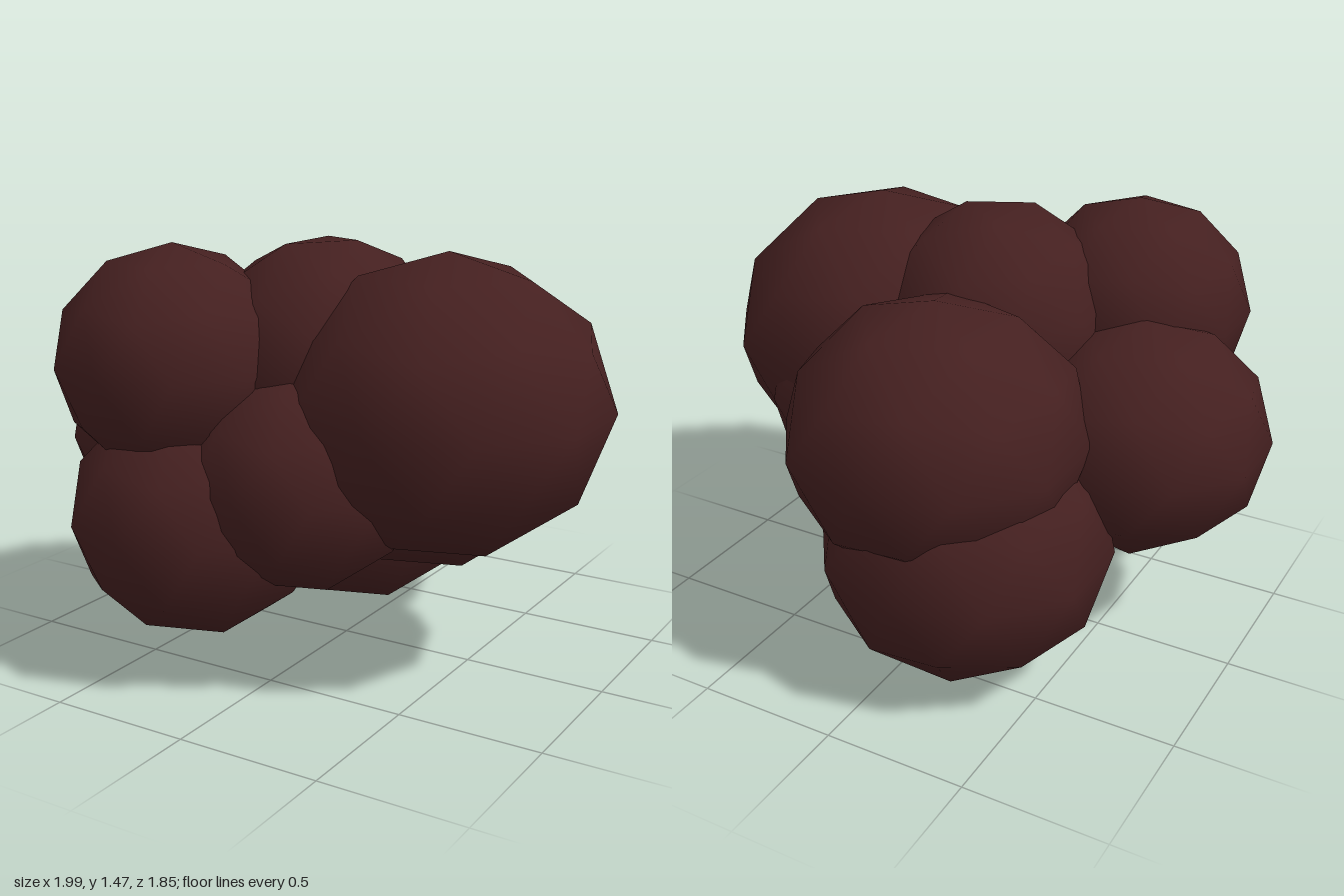
import * as THREE from 'three';

// Cluster of rounded lobes: name, centre x, y, z, horizontal radius, vertical radius, sideways tilt
const LOBES = [
  ['largeRightLobe', 0.465, 0.95, 0.135, 0.555, 0.505, 0],
  ['innerRightLobe', 0.345, 0.8, 0.015, 0.475, 0.455, 0],
  ['upperFrontLobe', -0.385, 1.07, 0.475, 0.41, 0.395, 0],
  ['lowerFrontLobe', -0.3, 0.55, 0.475, 0.445, 0.42, 0],
  ['leftLobe', -0.57, 0.745, 0.135, 0.45, 0.415, 0],
  ['backLobe', -0.07, 0.86, -0.41, 0.515, 0.465, 0],
  ['bottomLobe', -0.17, 0.48, -0.39, 0.505, 0.48, 0],
  ['topLobe', 0, 1.05, 0.13, 0.435, 0.435, -0.28],
  ['centreFrontLobe', 0.065, 0.71, 0.39, 0.405, 0.385, 0],
];

export function createModel() {
  const group = new THREE.Group();
  group.name = 'lobeCluster';
  const darkBrown = new THREE.MeshStandardMaterial({ color: 0x452020 });
  darkBrown.name = 'darkBrown';

  // Low-poly ball turned so that a vertex sits at each pole
  const ball = new THREE.IcosahedronGeometry(1, 1);
  ball.rotateZ(Math.atan(2 / (1 + Math.sqrt(5))));
  ball.rotateY(Math.PI);

  for (const [name, x, y, z, r, h, tilt] of LOBES) {
    const lobe = new THREE.Mesh(ball, darkBrown);
    lobe.name = name;
    lobe.position.set(x, y, z);
    lobe.scale.set(r, h, r);
    lobe.rotation.z = tilt;
    group.add(lobe);
  }
  return group;
}
